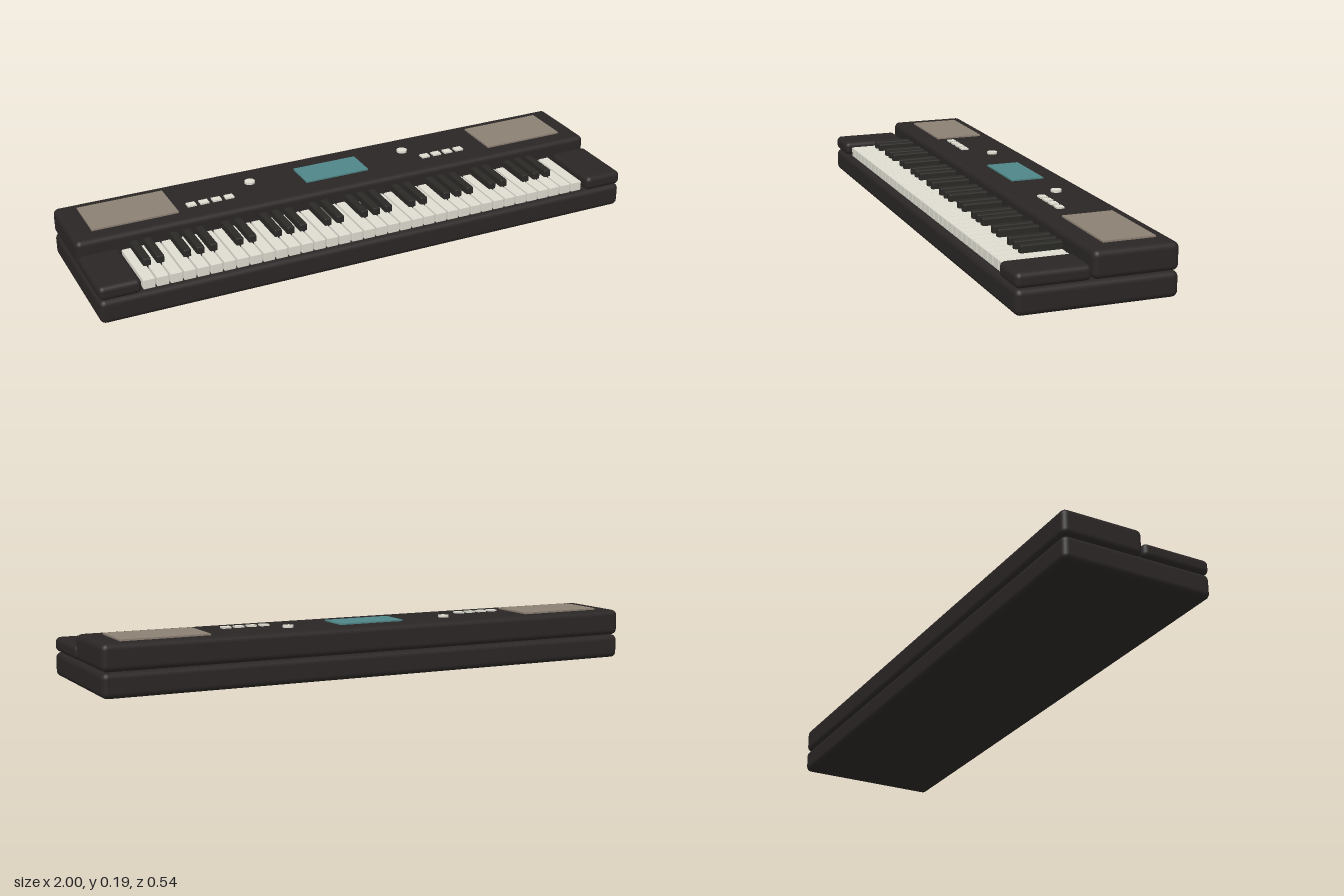
import * as THREE from 'three';
import { RoundedBoxGeometry } from 'three/addons/geometries/RoundedBoxGeometry.js';

const mat = (color) => new THREE.MeshStandardMaterial({ color });

export function createModel() {
  const keyboard = new THREE.Group();
  keyboard.name = 'keyboard';
  const body = mat(0x2a2625), ivory = mat(0xdedcd0), ebony = mat(0x2a2926);
  const grille = mat(0x8c8073), glass = mat(0x4f8587);

  const add = (name, geometry, material, x, y, z) => {
    const mesh = new THREE.Mesh(geometry, material);
    mesh.name = name;
    mesh.position.set(x, y, z);
    keyboard.add(mesh);
  };
  // Box given by its ranges; radius 0 gives sharp edges
  const block = (name, material, [x0, x1], [y0, y1], [z0, z1], radius = 0, segments = 3) => {
    const size = [x1 - x0, y1 - y0, z1 - z0];
    const geometry = radius
      ? new RoundedBoxGeometry(...size, segments, radius)
      : new THREE.BoxGeometry(...size);
    add(name, geometry, material, (x0 + x1) / 2, (y0 + y1) / 2, (z0 + z1) / 2);
  };

  // Case: base slab, raised rear console and the blocks beside the keys
  block('base', body, [-1, 1], [0, 0.085], [-0.27, 0.27], 0.02);
  block('console', body, [-1, 1], [0.086, 0.178], [-0.27, 0.02], 0.02);
  block('rightCheek', body, [-1, -0.855], [0.086, 0.137], [0.022, 0.27], 0.018);
  block('leftCheek', body, [0.855, 1], [0.086, 0.137], [0.022, 0.27], 0.018);

  // Five octaves plus a final C
  const whiteCount = 36, start = -0.848, pitch = 1.694 / whiteCount;
  for (let i = 0; i < whiteCount; i++) {
    const x = start + i * pitch;
    block('whiteKey', ivory, [x + 0.0025, x + pitch - 0.0025], [0.084, 0.12], [0.012, 0.247], 0.003, 1);
    // A black key follows C, D, F, G and A
    if (i < whiteCount - 1 && [0, 1, 3, 4, 5].includes(i % 7)) {
      const c = x + pitch;
      block('blackKey', ebony, [c - 0.0135, c + 0.0135], [0.107, 0.146], [0.015, 0.16], 0.005, 2);
    }
  }

  // Console top: speakers, display, knobs and buttons
  for (const side of [-1, 1]) {
    const cx = side * 0.77;
    block('speakerGrille', grille, [cx - 0.155, cx + 0.155], [0.172, 0.184], [-0.223, -0.044]);
    add('knob', new THREE.CylinderGeometry(0.019, 0.019, 0.014, 24), ivory, side * 0.307, 0.179, -0.157);
  }
  block('display', glass, [-0.123, 0.123], [0.172, 0.183], [-0.187, -0.067]);
  for (const first of [-0.557, 0.364]) {
    for (let i = 0; i < 4; i++) {
      const x = first + i * 0.047;
      block('button', ivory, [x - 0.016, x + 0.016], [0.172, 0.184], [-0.095, -0.068]);
    }
  }
  return keyboard;
}
